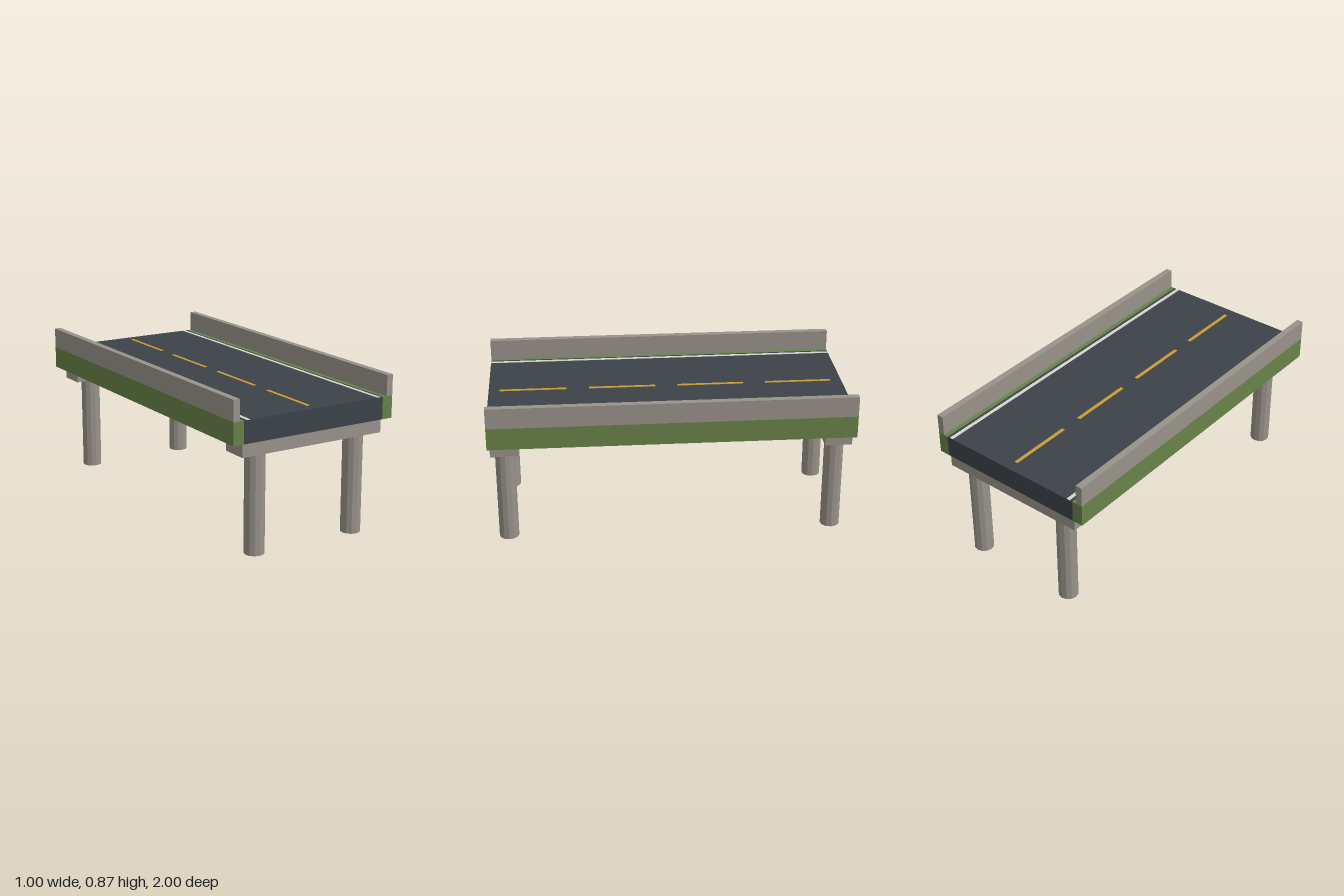
import * as THREE from 'three';

const mat = (name, color, side = THREE.FrontSide) => {
  const m = new THREE.MeshStandardMaterial({ color, side, flatShading: true });
  m.name = name;
  return m;
};

export function createModel() {
  const bridge = new THREE.Group();
  bridge.name = 'roadBridge';

  const concrete = mat('concrete', 0x98938a);
  const asphalt = mat('asphalt', 0x3c4249, THREE.DoubleSide);
  const green = mat('green', 0x688249, THREE.DoubleSide);
  const white = mat('whitePaint', 0xd6d6d0);
  const yellow = mat('yellowPaint', 0xcb9c34);

  const add = (name, geometry, material, x, y, z) => {
    const mesh = new THREE.Mesh(geometry, material);
    mesh.name = name;
    mesh.position.set(x, y, z);
    bridge.add(mesh);
    return mesh;
  };
  const box = (name, material, w, h, d, x, y, z) =>
    add(name, new THREE.BoxGeometry(w, h, d), material, x, y, z);

  // Main levels and widths
  const capBottom = 0.553, deckBottom = 0.627, deckTop = 0.75, railTop = 0.865;
  const deckHalf = 0.4375, railInner = 0.4625, half = 0.5;
  const deckH = deckTop - deckBottom, deckMid = (deckTop + deckBottom) / 2;

  // Deck is a shell, open underneath
  add('roadSurface', new THREE.PlaneGeometry(deckHalf * 2, 2).rotateX(-Math.PI / 2), asphalt, 0, deckTop, 0);
  for (const e of [-1, 1]) {
    add('deckEnd', new THREE.PlaneGeometry(deckHalf * 2, deckH).rotateY(e > 0 ? 0 : Math.PI), asphalt, 0, deckMid, e);
  }

  for (const s of [-1, 1]) {
    // Green verge: top, outer wall and end faces
    const vergeW = half - deckHalf, vergeX = s * (half + deckHalf) / 2;
    add('vergeTop', new THREE.PlaneGeometry(vergeW, 2).rotateX(-Math.PI / 2), green, vergeX, deckTop, 0);
    add('vergeSide', new THREE.PlaneGeometry(2, deckH).rotateY(s * Math.PI / 2), green, s * half, deckMid, 0);
    for (const e of [-1, 1]) {
      add('vergeEnd', new THREE.PlaneGeometry(vergeW, deckH).rotateY(e > 0 ? 0 : Math.PI), green, vergeX, deckMid, e);
    }

    // Parapet, with its foot running down inside the verge
    const railW = half - railInner, railX = s * (half + railInner) / 2;
    box('parapet', concrete, railW, railTop - deckTop, 2, railX, (railTop + deckTop) / 2, 0);
    box('parapetFoot', concrete, railW - 0.002, 0.11, 1.996, railX - s * 0.001, deckTop - 0.056, 0);

    // Painted edge line
    box('edgeLine', white, 0.02, 0.002, 2, s * 0.41, deckTop + 0.001, 0);
  }

  // Dashed centre line
  for (const z of [-0.75, -0.25, 0.25, 0.75]) {
    box('centreDash', yellow, 0.02, 0.002, 0.375, 0, deckTop + 0.001, z);
  }

  // Piers: a cross beam on two twelve-sided columns at each end
  for (const e of [-1, 1]) {
    const z = e * 0.9125;
    box('crossBeam', concrete, deckHalf * 2, deckBottom - capBottom, 0.15, 0, (deckBottom + capBottom) / 2, z);
    for (const s of [-1, 1]) {
      add('column', new THREE.CylinderGeometry(0.055, 0.055, capBottom, 12), concrete, s * 0.3125, capBottom / 2, z);
    }
  }

  return bridge;
}
